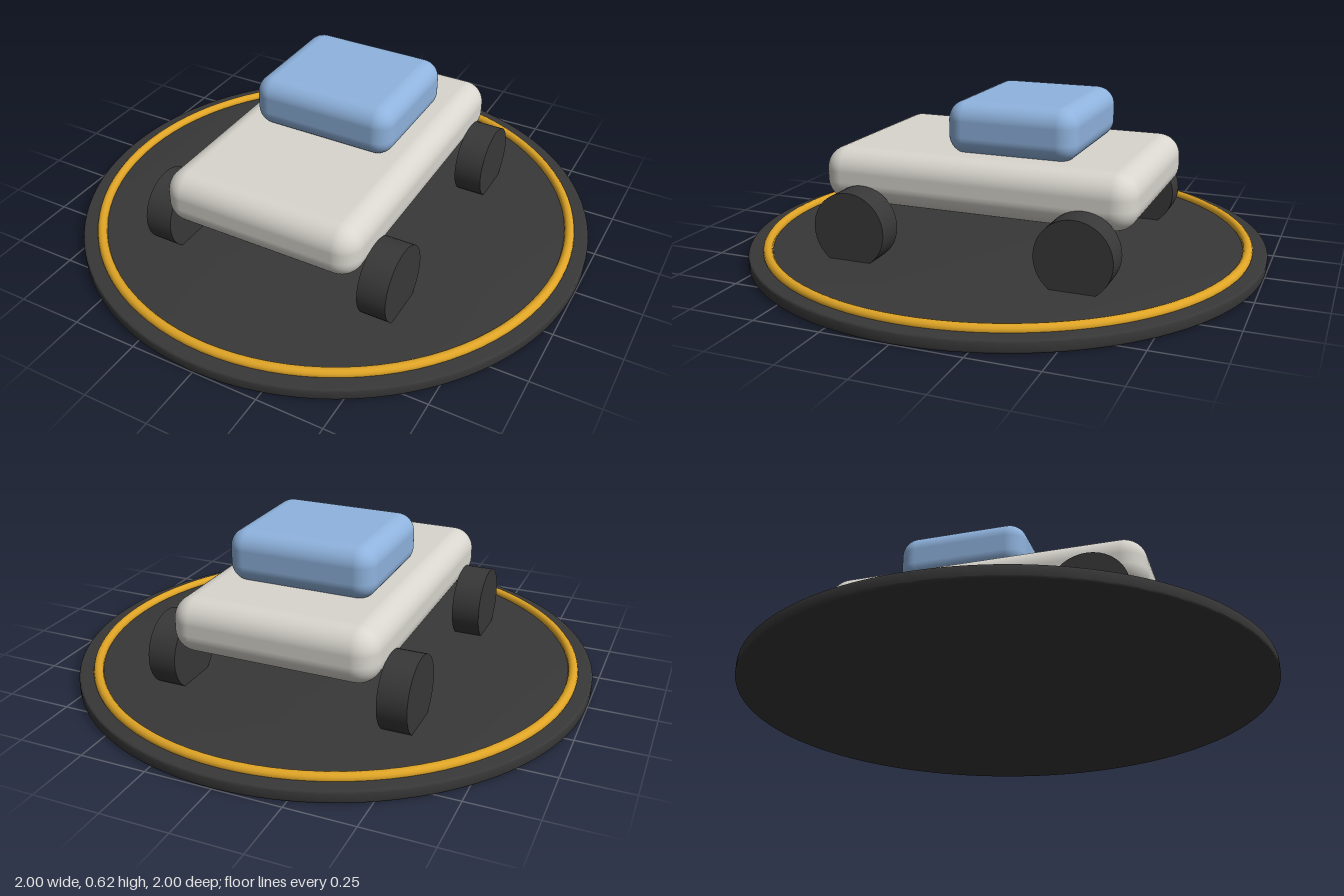
import * as THREE from 'three';
import { RoundedBoxGeometry } from 'three/addons/geometries/RoundedBoxGeometry.js';
import { toCreasedNormals } from 'three/addons/utils/BufferGeometryUtils.js';

const material = (name, color) => {
  const m = new THREE.MeshStandardMaterial({ color });
  m.name = name;
  return m;
};

export function createModel() {
  const rubber = material('charcoal', 0x383838);
  const gold = material('gold', 0xe0a526);
  const paint = material('warm white', 0xd8d6ce);
  const glass = material('sky blue', 0x8fb3de);

  const model = new THREE.Group();
  model.name = 'carOnDisplayBase';
  const add = (name, geometry, mat, x = 0, y = 0, z = 0) => {
    const mesh = new THREE.Mesh(geometry, mat);
    mesh.name = name;
    mesh.position.set(x, y, z);
    model.add(mesh);
    return mesh;
  };

  // Round base with slightly softened rims
  const bevel = 0.007, thickness = 0.045;
  const disc = new THREE.Shape().absarc(0, 0, 1 - bevel, 0, Math.PI * 2);
  const baseGeometry = new THREE.ExtrudeGeometry(disc, {
    depth: thickness - 2 * bevel, bevelThickness: bevel, bevelSize: bevel,
    bevelSegments: 3, curveSegments: 96,
  });
  baseGeometry.rotateX(-Math.PI / 2);
  add('base', toCreasedNormals(baseGeometry, 0.6), rubber, 0, bevel);

  // Gold ring set into the top of the base
  const ring = new THREE.TorusGeometry(0.927, 0.019, 12, 96);
  ring.rotateX(Math.PI / 2);
  add('trimRing', ring, gold, 0, 0.049);

  // Car body and cabin
  add('body', new RoundedBoxGeometry(0.784, 0.21, 1.21, 6, 0.085), paint, 0, 0.325);
  add('cabin', new RoundedBoxGeometry(0.57, 0.2, 0.5, 6, 0.07), glass, 0, 0.52, -0.108);

  // Four wheels outside the body
  const wheel = new THREE.CylinderGeometry(0.142, 0.142, 0.11, 40);
  wheel.rotateZ(Math.PI / 2);
  for (const [side, x] of [['left', 0.445], ['right', -0.445]])
    for (const [end, z] of [['Front', 0.428], ['Back', -0.428]])
      add(`${side}${end}Wheel`, wheel, rubber, x, 0.16, z);

  return model;
}
